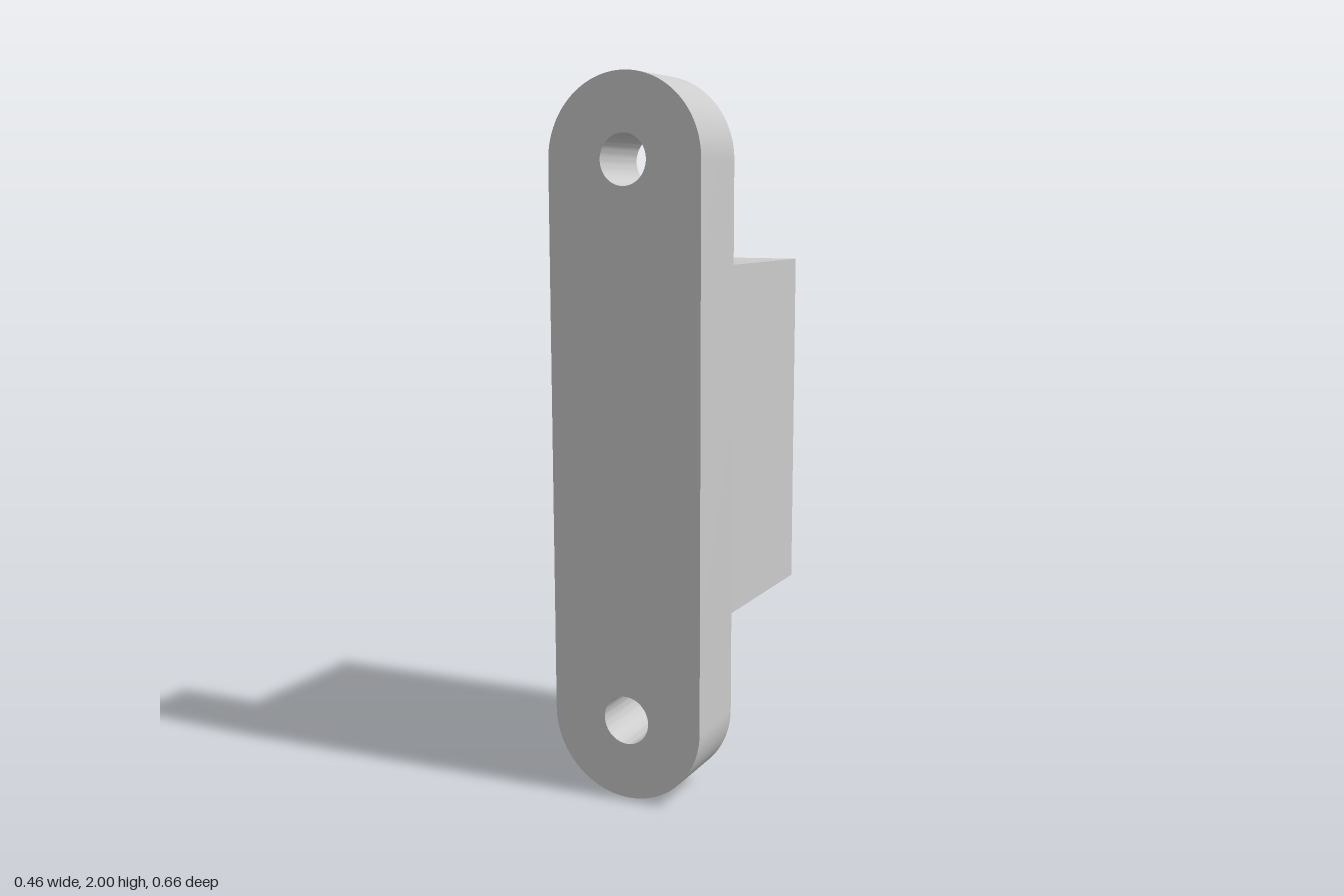
import * as THREE from 'three';
import { toCreasedNormals } from 'three/addons/utils/BufferGeometryUtils.js';

const R = 0.228;       // half width and end radius of the plate
const HOLE = 0.069;    // screw hole radius
const FRONT = 0.33;    // front face of the plate
const JOINT = 0.124;   // back face of the plate, where the block starts
const BACK = -0.33;    // back face of the block

export function createModel() {
  const group = new THREE.Group();
  const material = new THREE.MeshStandardMaterial({ color: 0xcccccc });

  const add = (name, geometry) => {
    const mesh = new THREE.Mesh(geometry, material);
    mesh.name = name;
    group.add(mesh);
    return mesh;
  };

  // Upright plate with rounded ends and a screw hole at each end's centre
  const outline = new THREE.Shape();
  outline.absarc(0, 2 - R, R, 0, Math.PI, false);
  outline.absarc(0, R, R, Math.PI, 2 * Math.PI, false);
  outline.closePath();
  for (const y of [R, 2 - R]) {
    const hole = new THREE.Path();
    hole.absarc(0, y, HOLE, 0, 2 * Math.PI, true);
    outline.holes.push(hole);
  }
  const plate = new THREE.ExtrudeGeometry(outline, {
    depth: FRONT - JOINT, bevelEnabled: false, curveSegments: 32,
  });
  add('mountingPlate', toCreasedNormals(plate, 0.6)).position.z = JOINT;

  // Rectangular block on the back, flush with the plate's sides
  const bottom = 0.514, top = 1.494;
  const block = add('backBlock', new THREE.BoxGeometry(2 * R, top - bottom, JOINT - BACK));
  block.position.set(0, (top + bottom) / 2, (JOINT + BACK) / 2);

  return group;
}
